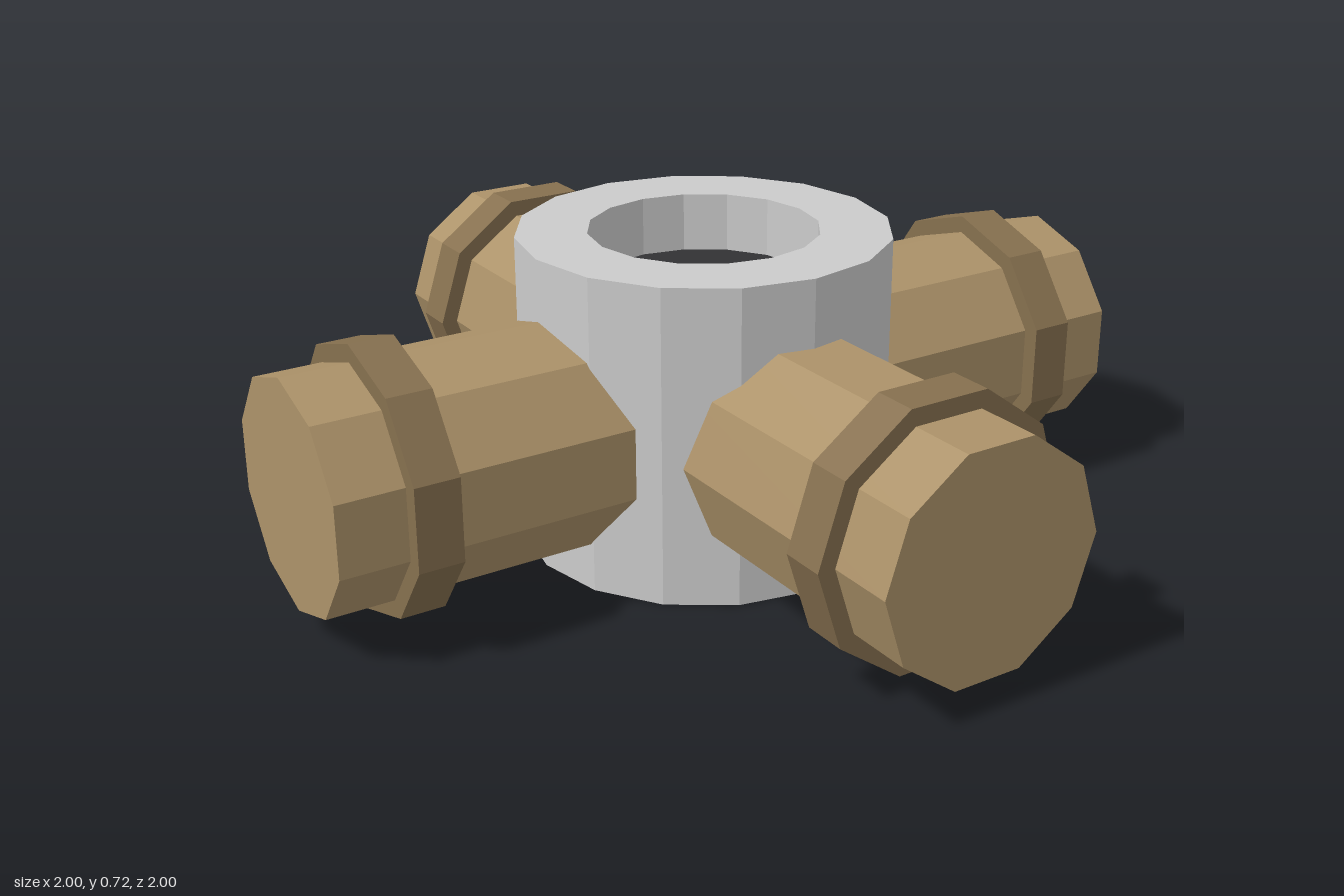
import * as THREE from 'three';

const CENTRE_Y = 0.32;

function material(color) {
  return new THREE.MeshStandardMaterial({ color, flatShading: true });
}

function addMesh(parent, name, geometry, mat) {
  const mesh = new THREE.Mesh(geometry, mat);
  mesh.name = name;
  parent.add(mesh);
  return mesh;
}

// Ten-sided cylinder lying along z, from z0 to z1
function pipeSection(radius, z0, z1, thetaStart) {
  return new THREE.CylinderGeometry(radius, radius, z1 - z0, 10, 1, false, thetaStart)
    .rotateX(Math.PI / 2)
    .translate(0, CENTRE_Y, (z0 + z1) / 2);
}

export function createModel() {
  const model = new THREE.Group();
  model.name = 'pipeJunction';

  const grey = material(0xcccccc);
  const brown = material(0xac9269);
  const darkBrown = material(0x86704f);
  const black = material(0x323234);

  // Upright hub: a thick sixteen-sided ring
  const profile = [[0.26, 0], [0.42, 0], [0.42, 0.72], [0.26, 0.72], [0.26, 0]]
    .map(([r, y]) => new THREE.Vector2(r, y));
  addMesh(model, 'hub', new THREE.LatheGeometry(profile, 16), grey);

  // Dark core, recessed from the top and flush with the bottom
  const core = new THREE.CylinderGeometry(0.26, 0.26, 0.585, 16).translate(0, 0.2925, 0);
  addMesh(model, 'core', core, black);

  // Four pipes; front and back have a flat side up, left and right an edge up
  ['front', 'left', 'back', 'right'].forEach((side, i) => {
    const arm = new THREE.Group();
    arm.name = side + 'Arm';
    arm.rotation.y = i * Math.PI / 2;
    const start = i % 2 === 0 ? Math.PI / 2 : 0;
    addMesh(arm, side + 'Pipe', pipeSection(0.26, 0.22, 1, start), brown);
    addMesh(arm, side + 'Collar', pipeSection(0.3, 0.75, 0.85, start), darkBrown);
    model.add(arm);
  });

  return model;
}
